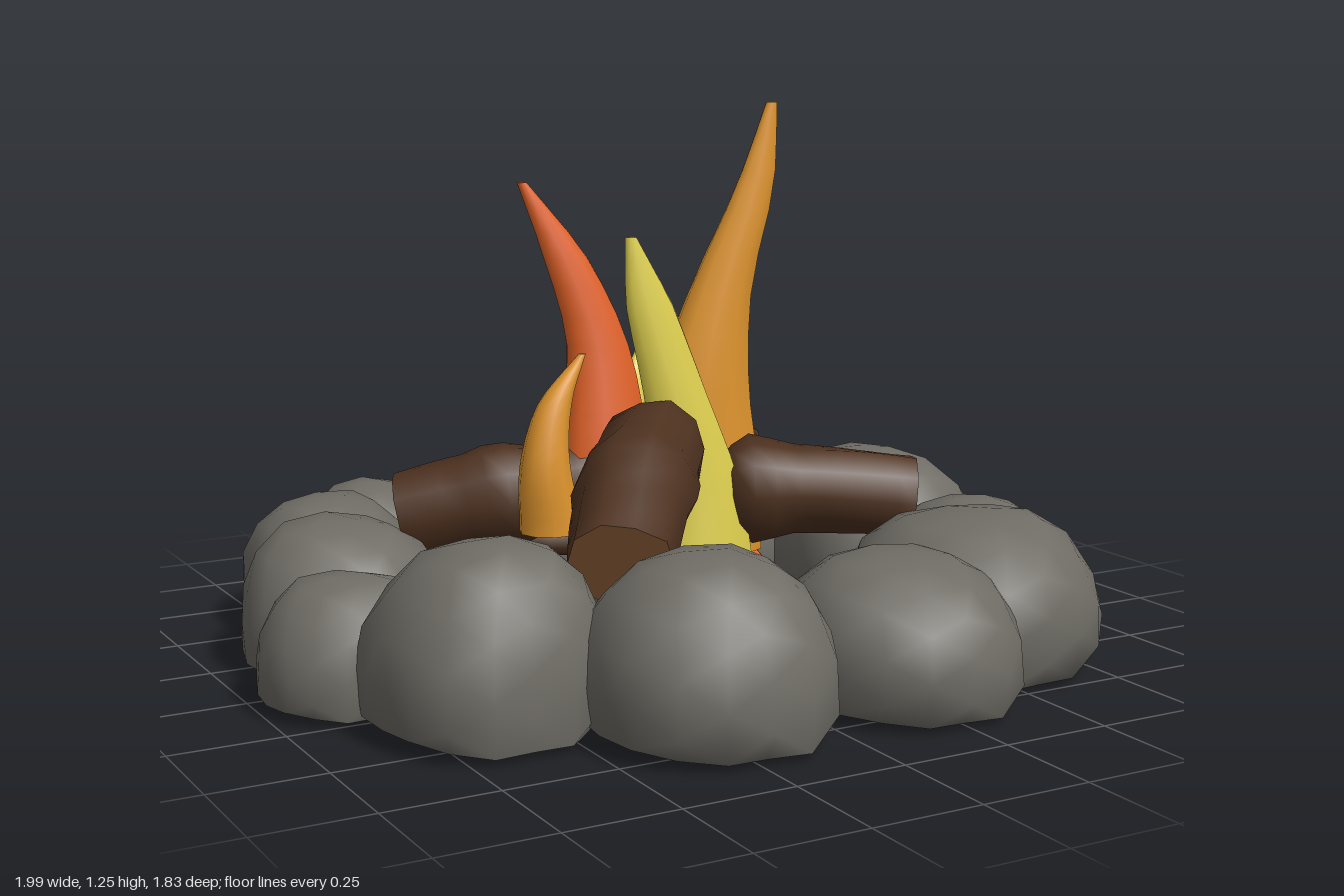
import * as THREE from 'three';
import { mergeVertices } from 'three/addons/utils/BufferGeometryUtils.js';

const mat = (name, color, extra = {}) => {
  const m = new THREE.MeshStandardMaterial({ color, ...extra });
  m.name = name;
  return m;
};

// Lofts elliptical rings along a smooth path; group 0 is the side, group 1 the end caps.
// Each station is [x, y, z, radiusA, radiusB].
function loft(stations, sides, steps, level, wobble = 0) {
  const path = new THREE.CatmullRomCurve3(stations.map(s => new THREE.Vector3(s[0], s[1], s[2])));
  const size = new THREE.CatmullRomCurve3(stations.map(s => new THREE.Vector3(s[3], s[4], 0)));
  const pos = [], index = [], up = new THREE.Vector3(0, 1, 0);
  const push = p => pos.push(p.x, p.y, p.z) / 3 - 1;
  const rings = [];
  for (let i = 0; i <= steps; i++) {
    const t = i / steps, c = path.getPoint(t), r = size.getPoint(t);
    const T = level ? up : path.getTangent(t);
    const U = level ? new THREE.Vector3(1, 0, 0) : new THREE.Vector3().crossVectors(up, T).normalize();
    const V = new THREE.Vector3().crossVectors(U, T);
    const ring = [];
    for (let j = 0; j < sides; j++) {
      const a = j / sides * Math.PI * 2;
      const k = 1 + wobble * Math.sin(j * 2.4 + i * 0.5);
      ring.push(c.clone().addScaledVector(U, Math.cos(a) * r.x * k).addScaledVector(V, Math.sin(a) * r.y * k));
    }
    rings.push({ c, ring });
    ring.forEach(push);
  }
  for (let i = 0; i < steps; i++) for (let j = 0; j < sides; j++) {
    const a = i * sides + j, b = i * sides + (j + 1) % sides;
    index.push(a, a + sides, b, b, a + sides, b + sides);
  }
  const sideCount = index.length;
  for (const [end, flip] of [[rings[0], false], [rings[steps], true]]) {
    const c = push(end.c), first = c + 1;
    end.ring.forEach(push);
    for (let j = 0; j < sides; j++) {
      const a = first + j, b = first + (j + 1) % sides;
      index.push(c, flip ? b : a, flip ? a : b);
    }
  }
  const g = new THREE.BufferGeometry();
  g.setAttribute('position', new THREE.Float32BufferAttribute(pos, 3));
  g.setIndex(index);
  g.addGroup(0, sideCount, 0);
  g.addGroup(sideCount, index.length - sideCount, 1);
  g.computeVertexNormals();
  return g;
}

// Boxy rounded stone shell, open where it sits on the ground
function stone(seed, rx, h, rz) {
  let g = new THREE.IcosahedronGeometry(1, 2);
  g.deleteAttribute('normal');
  g.deleteAttribute('uv');
  g = mergeVertices(g, 1e-3);
  const p = g.attributes.position, v = new THREE.Vector3(), floor = -0.42, n = 2.5;
  for (let i = 0; i < p.count; i++) {
    v.fromBufferAttribute(p, i).normalize();
    const box = Math.pow(Math.abs(v.x) ** n + Math.abs(v.y) ** n + Math.abs(v.z) ** n, -1 / n);
    const lump = Math.sin(v.x * 3.1 + seed * 1.7) * Math.sin(v.z * 3.3 + seed * 2.9) + 0.5 * Math.sin(v.y * 4 + seed + v.x * 2);
    v.multiplyScalar(Math.min(box, 1.08) * (0.98 + 0.045 * lump));
    const y = (Math.max(v.y, floor) - floor) / (1 - floor);
    p.setXYZ(i, v.x * rx, y * h, v.z * rz);
  }
  const old = g.index.array, kept = [];
  for (let f = 0; f < old.length; f += 3) {
    const tri = [old[f], old[f + 1], old[f + 2]];
    if (tri.some(i => p.getY(i) > 0)) kept.push(...tri);
  }
  g.setIndex(kept);
  g.computeVertexNormals();
  return g;
}

export function createModel() {
  const model = new THREE.Group();
  const rock = mat('stone grey', 0x6f6c65, { side: THREE.DoubleSide });
  const bark = mat('bark brown', 0x4d311f);
  const wood = mat('cut wood', 0x8f6038);
  const orange = mat('flame orange', 0xdf952e);
  const red = mat('flame red', 0xe06126);
  const yellow = mat('flame yellow', 0xdccd4d);
  const ash = mat('ash grey', 0x3d3f39, { side: THREE.DoubleSide });
  const char = mat('charcoal', 0x212122, { side: THREE.DoubleSide });

  const add = (name, geometry, material, x = 0, y = 0, z = 0) => {
    const m = new THREE.Mesh(geometry, material);
    m.name = name;
    m.position.set(x, y, z);
    model.add(m);
    return m;
  };

  // Ring of stones: x, z, half width, half depth, height
  [
    [-0.42, -0.73, 0.18, 0.19, 0.28], [-0.13, -0.67, 0.22, 0.21, 0.31], [0.22, -0.66, 0.17, 0.18, 0.25],
    [0.5, -0.54, 0.2, 0.22, 0.28], [0.75, -0.22, 0.25, 0.25, 0.34], [0.75, 0.2, 0.21, 0.21, 0.29],
    [0.53, 0.5, 0.28, 0.28, 0.35], [0.23, 0.64, 0.25, 0.27, 0.32], [-0.24, 0.64, 0.265, 0.27, 0.37],
    [-0.62, 0.4, 0.25, 0.25, 0.38], [-0.81, 0.11, 0.19, 0.18, 0.27], [-0.71, -0.2, 0.23, 0.23, 0.32],
    [-0.62, -0.5, 0.21, 0.24, 0.31],
  ].forEach(([x, z, rx, rz, h], i) => add('ringStone' + (i + 1), stone(i + 1, rx, h, rz), rock, x, 0.015, z));

  // Ash bed: a low fan of burnt sectors
  const rim = [[-0.54, 0.07], [-0.53, -0.15], [-0.46, -0.34], [-0.05, -0.47], [0.28, -0.42], [0.5, -0.27],
    [0.63, -0.02], [0.49, 0.25], [0.34, 0.42], [0, 0.47], [-0.28, 0.42], [-0.44, 0.28]];
  const burnt = [4, 5, 9, 11];
  const bedPos = [];
  const bed = new THREE.BufferGeometry();
  rim.forEach(([x, z], i) => {
    const [nx, nz] = rim[(i + 1) % rim.length];
    bedPos.push(0, 0.025, 0, nx, 0.003, nz, x, 0.003, z);
    bed.addGroup(i * 3, 3, burnt.includes(i) ? 1 : 0);
  });
  bed.setAttribute('position', new THREE.Float32BufferAttribute(bedPos, 3));
  bed.computeVertexNormals();
  add('ashBed', bed, [ash, char]);

  // Four logs leaning inward, cut at the outer end and rounded at the inner end; sticks beneath
  const log = (name, pts, sides = 10) =>
    add(name, loft(pts.map(([x, y, z, r]) => [x, y, z, r, r]), sides, 12, false, 0.05), [bark, wood]);
  log('frontLeftLog', [[-0.34, 0.32, 0.46, 0.115], [-0.25, 0.4, 0.33, 0.12], [-0.15, 0.455, 0.2, 0.12],
    [-0.06, 0.485, 0.1, 0.115], [-0.03, 0.49, 0.06, 0.03]]);
  log('backRightLog', [[0.41, 0.33, -0.41, 0.115], [0.32, 0.38, -0.31, 0.115], [0.22, 0.42, -0.2, 0.115],
    [0.15, 0.435, -0.13, 0.11], [0.12, 0.44, -0.1, 0.03]]);
  log('frontRightLog', [[0.54, 0.335, 0.24, 0.1], [0.42, 0.35, 0.185, 0.1], [0.29, 0.36, 0.13, 0.1],
    [0.16, 0.36, 0.07, 0.1], [0.12, 0.36, 0.05, 0.04]]);
  log('backLeftLog', [[-0.53, 0.3, -0.26, 0.105], [-0.39, 0.335, -0.19, 0.11], [-0.26, 0.36, -0.13, 0.11],
    [-0.13, 0.375, -0.07, 0.105], [-0.09, 0.38, -0.05, 0.04]]);
  log('backStick', [[-0.22, 0.22, -0.26, 0.045], [0.08, 0.2, -0.23, 0.05], [0.4, 0.16, -0.23, 0.045]], 7);
  log('frontStick', [[-0.22, 0.07, 0.12, 0.04], [0, 0.09, 0.16, 0.04], [0.24, 0.08, 0.18, 0.04]], 7);

  // Flames: tapering tongues that lean as they rise
  const flame = (name, stations, m) => add(name, loft(stations, 10, 12, true), [m, m]);
  flame('tallOrangeFlame', [[0.15, 0.19, -0.06, 0.16, 0.11], [0.15, 0.42, -0.055, 0.145, 0.095], [0.145, 0.6, -0.045, 0.122, 0.08],
    [0.185, 0.82, -0.03, 0.08, 0.055], [0.265, 1.06, -0.01, 0.05, 0.03], [0.302, 1.25, 0, 0.014, 0.01]], orange);
  flame('redFlame', [[-0.1, 0.27, -0.06, 0.13, 0.1], [-0.1, 0.48, -0.075, 0.11, 0.08], [-0.11, 0.7, -0.09, 0.078, 0.055],
    [-0.18, 0.9, -0.11, 0.055, 0.035], [-0.28, 1.075, -0.13, 0.012, 0.01]], red);
  flame('frontYellowFlame', [[0.06, 0.16, 0.1, 0.14, 0.09], [0.055, 0.38, 0.09, 0.11, 0.07], [0, 0.6, 0.08, 0.08, 0.052],
    [-0.06, 0.8, 0.072, 0.06, 0.033], [-0.108, 0.96, 0.07, 0.014, 0.01]], yellow);
  flame('smallOrangeFlame', [[-0.28, 0.3, 0.02, 0.08, 0.07], [-0.305, 0.45, 0.03, 0.058, 0.058],
    [-0.28, 0.59, 0.03, 0.04, 0.035], [-0.21, 0.7, 0.03, 0.008, 0.008]], orange);
  flame('smallRedFlame', [[0.3, 0.2, -0.14, 0.09, 0.075], [0.295, 0.31, -0.13, 0.075, 0.06],
    [0.28, 0.41, -0.11, 0.05, 0.035], [0.265, 0.5, -0.09, 0.008, 0.008]], red);
  flame('backYellowFlame', [[0.03, 0.16, -0.25, 0.075, 0.065], [0.05, 0.32, -0.265, 0.068, 0.055],
    [0.08, 0.48, -0.3, 0.05, 0.035], [0.14, 0.64, -0.35, 0.008, 0.006]], yellow);

  // Glowing embers: small cones with alternating hot and burnt faces
  for (const [x, y, z, r] of [[-0.07, 0.03, -0.35, 0.06], [0.36, 0.1, -0.2, 0.06], [-0.08, 0.09, 0.05, 0.06]]) {
    const g = new THREE.ConeGeometry(r, r * 1.2, 8).toNonIndexed();
    g.computeVertexNormals();
    g.clearGroups();
    const faces = g.attributes.position.count / 3;
    for (let f = 0; f < faces; f++) g.addGroup(f * 3, 3, f % 2);
    add('ember', g, [red, char], x, y + r * 0.6, z);
  }

  // Charcoal lump
  const lump = add('charcoalLump', new THREE.SphereGeometry(0.07, 8, 5), char, 0.04, 0.035, 0.26);
  lump.scale.set(1, 0.5, 0.45);

  return model;
}
